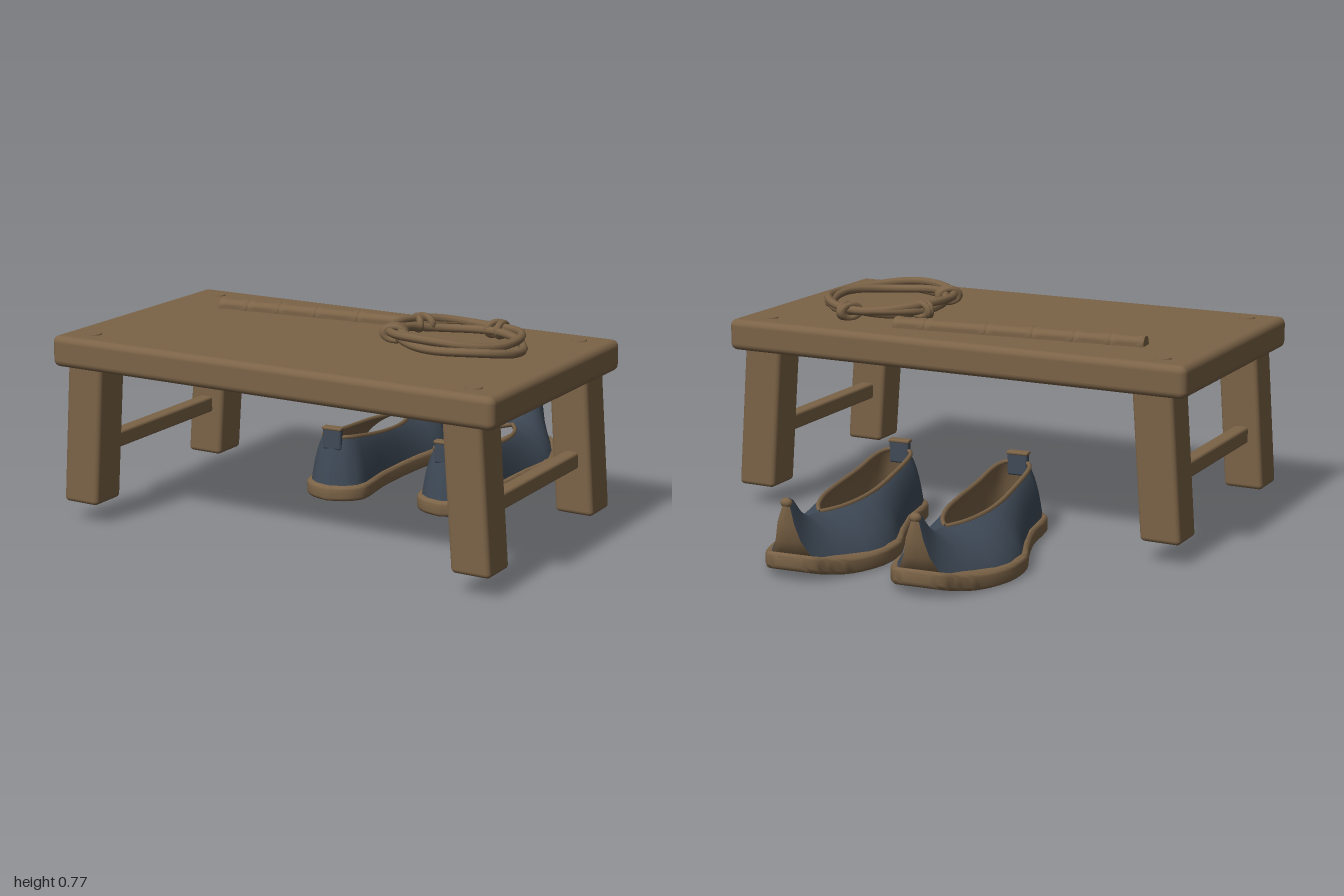
import * as THREE from 'three';
import { RoundedBoxGeometry } from 'three/addons/geometries/RoundedBoxGeometry.js';
import { toCreasedNormals } from 'three/addons/utils/BufferGeometryUtils.js';

const V = (x, y, z) => new THREE.Vector3(x, y, z);

function add(parent, name, geometry, material, x = 0, y = 0, z = 0) {
  const mesh = new THREE.Mesh(geometry, material);
  mesh.name = name;
  mesh.position.set(x, y, z);
  parent.add(mesh);
  return mesh;
}

// Surface through rows of points
function loft(rows, flip) {
  const n = rows[0].length, index = [];
  for (let i = 0; i < rows.length - 1; i++) {
    for (let j = 0; j < n - 1; j++) {
      const a = i * n + j, b = a + n, c = a + 1, d = b + 1;
      if (flip) index.push(a, c, b, b, c, d);
      else index.push(a, b, c, b, d, c);
    }
  }
  const g = new THREE.BufferGeometry().setFromPoints(rows.flat());
  g.setIndex(index);
  g.computeVertexNormals();
  return g;
}

// Shoe stations, heel to toe: bottom x, bottom y, top x, top y, left width, right width, opening
const STATIONS = [
  [0, 0.05, 0.04, 0.235, 0, 0, 0],
  [0.015, 0.05, 0.047, 0.235, 0.055, 0.055, 0.035],
  [0.05, 0.05, 0.075, 0.232, 0.095, 0.095, 0.055],
  [0.1, 0.05, 0.12, 0.226, 0.11, 0.108, 0.065],
  [0.25, 0.05, 0.25, 0.205, 0.125, 0.1, 0.07],
  [0.4, 0.05, 0.4, 0.19, 0.165, 0.11, 0.075],
  [0.52, 0.05, 0.52, 0.183, 0.205, 0.125, 0.066],
  [0.62, 0.05, 0.62, 0.178, 0.205, 0.145, 0.038],
  [0.69, 0.05, 0.69, 0.176, 0.185, 0.155, 0],
  [0.78, 0.052, 0.77, 0.183, 0.14, 0.135, 0],
  [0.85, 0.065, 0.82, 0.21, 0.095, 0.1, 0],
  [0.89, 0.09, 0.852, 0.242, 0.065, 0.07, 0],
  [0.915, 0.14, 0.875, 0.265, 0.045, 0.045, 0],
  [0.93, 0.2, 0.9, 0.277, 0.03, 0.03, 0],
  [0.925, 0.262, 0.92, 0.279, 0.012, 0.012, 0],
];

function shoeSide(stations, side) {
  return stations.map(([sb, yb, st, yt, wl, wr, o]) => {
    const w = side > 0 ? wr : wl, row = [];
    for (let j = 0; j <= 10; j++) {
      const k = j / 10, a = k * Math.PI / 2;
      const inward = (Math.cos(a) + 1 - k) / 2, up = (Math.sin(a) + k) / 2;
      row.push(V(sb + (st - sb) * k, yb + (yt - yb) * up, side * (o + (w - o) * inward)));
    }
    return row;
  });
}

function makeShoe(tan, blue) {
  const shoe = new THREE.Group();
  const open = STATIONS.slice(0, 9);

  // Sole with a slightly raised toe
  const right = STATIONS.slice(1, 12).map(s => new THREE.Vector2(s[0], s[5] + 0.004));
  const left = STATIONS.slice(1, 12).map(s => new THREE.Vector2(s[0], -s[4] - 0.004)).reverse();
  const outline = new THREE.SplineCurve([new THREE.Vector2(-0.004, 0), ...right,
    new THREE.Vector2(0.91, 0), ...left, new THREE.Vector2(-0.004, 0)]);
  const sole = new THREE.ExtrudeGeometry(new THREE.Shape(outline.getPoints(96)), {
    depth: 0.03, bevelThickness: 0.014, bevelSize: 0.012, bevelSegments: 3 });
  sole.rotateX(Math.PI / 2).translate(0, 0.044, 0);
  const p = sole.attributes.position;
  for (let i = 0; i < p.count; i++) {
    p.setY(i, p.getY(i) + Math.max(0, p.getX(i) - 0.72) ** 2);
  }
  add(shoe, 'sole', toCreasedNormals(sole, 0.9), tan);

  // Upper, lining and edge binding
  for (const side of [-1, 1]) {
    add(shoe, 'upper', loft(shoeSide(STATIONS, side), side < 0), blue);
    add(shoe, 'lining', loft(shoeSide(open, side), side > 0), tan);
    const rim = new THREE.CatmullRomCurve3(open.map(s => V(s[2], s[3], side * s[6])));
    add(shoe, 'binding', new THREE.TubeGeometry(rim, 40, 0.008, 6), tan);
  }

  // Strip that wraps up the front of the curled toe
  const strip = STATIONS.slice(9).map(([s, y, , , wl, wr]) => [-1, -0.5, 0, 0.5, 1].map(k =>
    V(s + 0.012 * (1 - k * k), y - 0.004 * (1 - k * k), k < 0 ? k * wl : k * wr)));
  add(shoe, 'toeStrip', loft(strip), tan);
  const tip = add(shoe, 'toeTip', new THREE.SphereGeometry(0.016, 12, 8), tan, 0.922, 0.268, 0);
  tip.scale.z = 1.3;

  // Pull tab at the heel
  add(shoe, 'heelTab', new RoundedBoxGeometry(0.028, 0.085, 0.075, 2, 0.008), blue, 0.042, 0.23, 0);
  add(shoe, 'heelTabEdge', new RoundedBoxGeometry(0.034, 0.012, 0.08, 2, 0.005), tan, 0.042, 0.268, 0);
  return shoe;
}

export function createModel() {
  const model = new THREE.Group();
  const wood = new THREE.MeshStandardMaterial({ color: 0x7b6347 });
  wood.name = 'brown wood';
  const blue = new THREE.MeshStandardMaterial({ color: 0x3f4a57 });
  blue.name = 'slate blue cloth';

  // Bench
  const bench = new THREE.Group();
  bench.name = 'bench';
  bench.position.x = -0.14;
  bench.rotation.y = 0.526;
  model.add(bench);
  add(bench, 'benchTop', new RoundedBoxGeometry(0.97, 0.112, 1.755, 3, 0.025), wood, 0, 0.629, 0);
  for (const sz of [-1, 1]) {
    for (const sx of [-1, 1]) {
      const leg = new RoundedBoxGeometry(0.145, 0.53, 0.145, 3, 0.016);
      const p = leg.attributes.position;
      for (let i = 0; i < p.count; i++) p.setZ(i, p.getZ(i) - sz * 0.075 * p.getY(i));
      add(bench, 'leg', leg, wood, sx * 0.39, 0.338, sz * 0.77);
      add(bench, 'peg', new THREE.CylinderGeometry(0.028, 0.03, 0.008, 16), wood, sx * 0.39, 0.685, sz * 0.76);
    }
    add(bench, 'stretcher', new RoundedBoxGeometry(0.7, 0.06, 0.055, 2, 0.01), wood, 0, 0.272, sz * 0.775);
  }

  // Pair of shoes
  for (const [x, z] of [[0.23, 0.11], [-0.03, -0.26]]) {
    const shoe = makeShoe(wood, blue);
    shoe.name = 'shoe';
    shoe.position.set(x, 0, z);
    shoe.rotation.y = 0.607;
    model.add(shoe);
  }

  // Jointed rod lying on the bench
  const rod = new THREE.Group();
  rod.name = 'jointedRod';
  rod.position.set(0.01, 0.688, -0.287);
  rod.rotation.y = 0.627;
  model.add(rod);
  const joints = [-0.46, -0.34, -0.21, -0.06, 0.11, 0.34, 0.46];
  for (let i = 0; i < 6; i++) {
    const length = joints[i + 1] - joints[i], r = 0.035;
    const profile = [[0, 0], [r - 0.004, 0], [r, 0.008], [r - 0.003, 0.03], [r - 0.003, length - 0.03],
      [r, length - 0.008], [r - 0.004, length], [0, length]].map(q => new THREE.Vector2(...q));
    const g = toCreasedNormals(new THREE.LatheGeometry(profile, 20), 0.7);
    g.rotateX(Math.PI / 2);
    add(rod, 'rodSegment', g, wood, 0, 0, joints[i]);
  }

  // Coiled cord: centre x, centre z, radii, height, phase of the weave
  const cord = new THREE.Group();
  cord.name = 'cordCoil';
  model.add(cord);
  const height = x => 0.726 - 0.06 * (x - 0.15);
  for (const [cx, cz, rx, rz, lift, phase] of [
    [0.145, 0.345, 0.225, 0.235, 0.014, 0],
    [0.14, 0.385, 0.2, 0.25, -0.006, 2],
    [0.16, 0.335, 0.2, 0.225, 0.003, 4]]) {
    const points = [];
    for (let i = 0; i < 24; i++) {
      const a = i / 24 * Math.PI * 2, x = cx + rx * Math.cos(a);
      points.push(V(x, height(x) + lift + 0.006 * Math.sin(3 * a + phase), cz + rz * Math.sin(a)));
    }
    const path = new THREE.CatmullRomCurve3(points, true);
    add(cord, 'cordLoop', new THREE.TubeGeometry(path, 96, 0.015, 8, true), wood);
  }

  // Knots wrapped around the coil
  for (const [x, z] of [[-0.04, 0.245], [0.36, 0.285], [0.15, 0.105]]) {
    const knot = new THREE.Group();
    knot.name = 'knot';
    knot.position.set(x, height(x) + 0.002, z);
    knot.rotation.y = -Math.atan2(z - 0.35, x - 0.15);
    cord.add(knot);
    for (const k of [-1, 1]) {
      const wrap = add(knot, 'knotWrap', new THREE.TorusGeometry(0.028, 0.013, 8, 18), wood, 0, 0, k * 0.014);
      wrap.scale.set(1.3, 0.85, 1);
      wrap.rotation.y = k * 0.25;
    }
  }
  return model;
}
